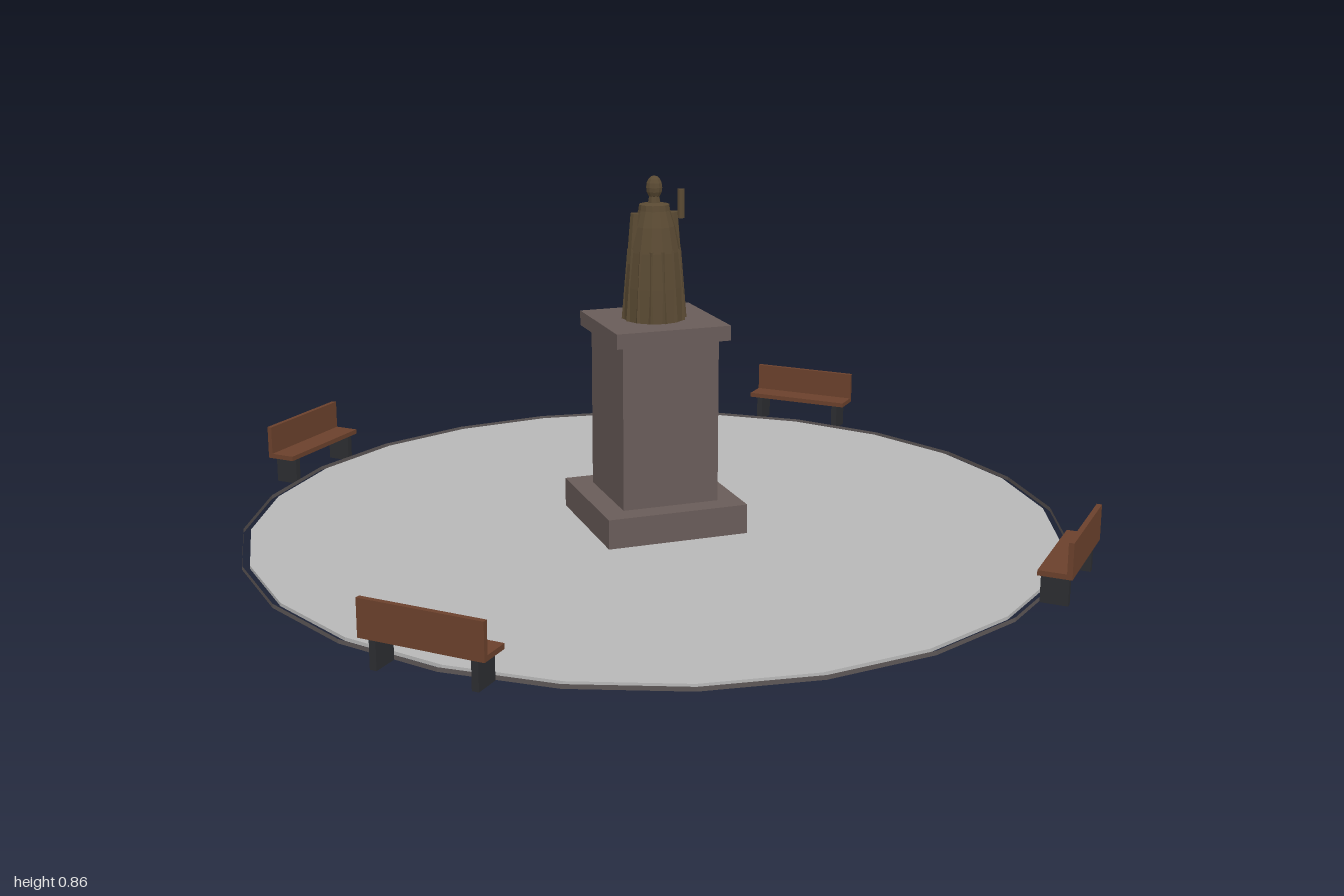
import * as THREE from 'three';

const mat = (name, color, extra = {}) => {
  const m = new THREE.MeshStandardMaterial({ color, ...extra });
  m.name = name;
  return m;
};

export function createModel() {
  const paving = mat('paving', 0xb8b8b8, { flatShading: true });
  const stone = mat('stone', 0x695c59, { flatShading: true });
  const kerbStone = mat('kerbStone', 0x5c5656, { flatShading: true, side: THREE.DoubleSide });
  const bronze = mat('bronze', 0x5a4a33, { flatShading: true, side: THREE.DoubleSide });
  const wood = mat('wood', 0x6b412c, { flatShading: true });
  const iron = mat('iron', 0x2c2d31, { flatShading: true });

  const model = new THREE.Group();
  model.name = 'monument';
  const add = (parent, name, geometry, material, x = 0, y = 0, z = 0) => {
    const mesh = new THREE.Mesh(geometry, material);
    mesh.name = name;
    mesh.position.set(x, y, z);
    parent.add(mesh);
    return mesh;
  };
  // box given by its bottom and top heights
  const slab = (parent, name, w, y0, y1, d, material, x = 0, z = 0) =>
    add(parent, name, new THREE.BoxGeometry(w, y1 - y0, d), material, x, (y0 + y1) / 2, z);

  // round plaza with a separate thin kerb band
  add(model, 'plaza', new THREE.CylinderGeometry(0.982, 0.982, 0.008, 24), paving, 0, 0.004, 0);
  add(model, 'kerb', new THREE.CylinderGeometry(1, 1, 0.01, 24, 1, true), kerbStone, 0, 0.005, 0);

  // stepped pedestal
  const pedestal = new THREE.Group();
  pedestal.name = 'pedestal';
  model.add(pedestal);
  slab(pedestal, 'pedestalBase', 0.35, 0, 0.08, 0.35, stone);
  slab(pedestal, 'pedestalShaft', 0.24, 0.08, 0.48, 0.24, stone);
  slab(pedestal, 'pedestalCap', 0.284, 0.48, 0.516, 0.284, stone);

  // robed statue
  const statue = new THREE.Group();
  statue.name = 'statue';
  statue.position.y = 0.516;
  model.add(statue);
  const profile = [[0, 0], [0.074, 0], [0.07, 0.08], [0.062, 0.165], [0.05, 0.225], [0.038, 0.262], [0.036, 0.276], [0.016, 0.28], [0, 0.28]]
    .map(([r, y]) => new THREE.Vector2(r, y));
  add(statue, 'robe', new THREE.LatheGeometry(profile, 14), bronze);

  // shallow cloth folds standing off the robe
  for (let i = 0; i < 14; i++) {
    const a = (i / 14) * Math.PI * 2;
    const fold = add(statue, 'robeFold', new THREE.CylinderGeometry(0.005, 0.008, 0.17, 4), bronze,
      Math.sin(a) * 0.065, 0.085, Math.cos(a) * 0.065);
    fold.rotation.set(-0.065, a, 0, 'YXZ');
  }

  // sleeves hang straight from square shoulders
  for (const side of [-1, 1]) {
    const sleeve = add(statue, 'sleeve', new THREE.CylinderGeometry(0.014, 0.017, 0.12, 8), bronze, side * 0.049, 0.196, 0);
    sleeve.rotation.z = side * 0.06;
  }
  add(statue, 'neck', new THREE.CylinderGeometry(0.012, 0.016, 0.025, 8), bronze, 0, 0.289, 0);
  const head = add(statue, 'head', new THREE.SphereGeometry(0.02, 10, 8), bronze, 0, 0.316, 0);
  head.scale.y = 1.4;
  add(statue, 'baton', new THREE.CylinderGeometry(0.009, 0.009, 0.07, 8), bronze, 0.08, 0.269, -0.032);

  // four benches facing the statue from the diagonals
  for (let i = 0; i < 4; i++) {
    const a = Math.PI / 4 + (i * Math.PI) / 2;
    const bench = new THREE.Group();
    bench.name = 'bench';
    bench.position.set(Math.sin(a) * 1.02, 0, Math.cos(a) * 1.02);
    bench.rotation.y = a;
    model.add(bench);
    slab(bench, 'benchSeat', 0.29, 0.068, 0.08, 0.076, wood);
    slab(bench, 'benchBack', 0.29, 0.08, 0.152, 0.012, wood, 0, 0.032);
    for (const side of [-1, 1]) slab(bench, 'benchLeg', 0.016, 0, 0.068, 0.062, iron, side * 0.117, -0.003);
  }
  return model;
}
